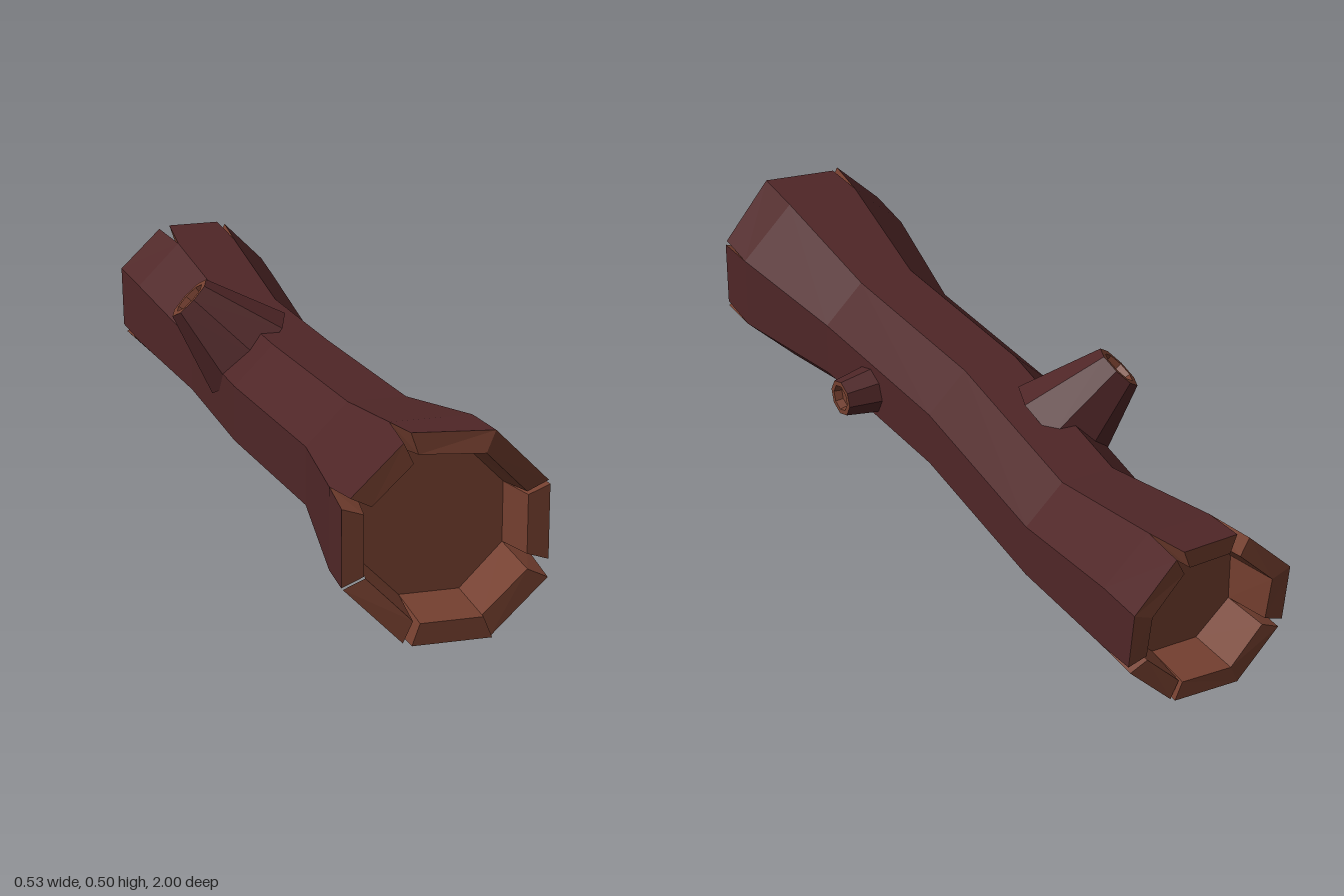
import * as THREE from 'three';

const SIDES = 8;

const bark = new THREE.MeshStandardMaterial({ color: 0x4f2627, flatShading: true });
bark.name = 'bark';
const wood = new THREE.MeshStandardMaterial({ color: 0x743f2f, flatShading: true, side: THREE.DoubleSide });
wood.name = 'cut wood';

// Corner k of an octagonal ring { x, y, z, r }
function corner(ring, k) {
  const a = (k + 0.5) * Math.PI * 2 / SIDES;
  return new THREE.Vector3(ring.x + ring.r * Math.cos(a), ring.y + ring.r * Math.sin(a), ring.z);
}

// Collects flat quads into one mesh
class QuadBuilder {
  constructor() { this.points = []; }
  add(a, b, c, d, flip = false) {
    const order = flip ? [a, c, b, a, d, c] : [a, b, c, a, c, d];
    for (const p of order) this.points.push(p.x, p.y, p.z);
  }
  mesh(name, material) {
    const g = new THREE.BufferGeometry();
    g.setAttribute('position', new THREE.Float32BufferAttribute(this.points, 3));
    g.computeVertexNormals();
    const m = new THREE.Mesh(g, material);
    m.name = name;
    return m;
  }
}

// Trunk sections from back to front
const rings = [
  { x: -0.018, y: 0.261, z: -0.86, r: 0.203 },
  { x: 0.005, y: 0.215, z: -0.5, r: 0.172 },
  { x: -0.01, y: 0.235, z: 0, r: 0.18 },
  { x: 0.022, y: 0.234, z: 0.5, r: 0.182 },
  { x: 0.027, y: 0.236, z: 0.86, r: 0.247 },
];

// Split ends: slit = inset share at each corner, reach = end distance at both corners of each plank
const ends = [
  {
    name: 'front', sign: 1, ring: rings[4],
    rim: { x: 0.027, y: 0.237, r: 0.254 }, inner: 0.2, floor: 0.182,
    slit: [0.03, 0, 0.08, 0.09, 0, 0.06, 0, 0.09],
    reach: [[0.97, 1], [1, 0.965], [1, 0.99], [0.97, 0.97], [0.98, 1], [1, 1], [0.99, 1], [0.97, 0.97]],
  },
  {
    name: 'back', sign: -1, ring: rings[0],
    rim: { x: -0.023, y: 0.272, r: 0.214 }, inner: 0.165, floor: 0.15,
    slit: [0, 0.08, 0.09, 0, 0.07, 0, 0.03, 0.1],
    reach: [[1, 0.99], [0.985, 0.98], [0.99, 1], [1, 0.98], [0.98, 0.99], [0.99, 0.985], [0.98, 0.97], [0.98, 1]],
  },
];

function buildEnd(end) {
  const outer = new QuadBuilder(), cut = new QuadBuilder();
  const { sign, ring, rim } = end;
  const flip = sign < 0;
  const floorRing = { ...ring, r: end.floor };
  const middle = new THREE.Vector3(ring.x, ring.y, ring.z);

  for (let i = 0; i < SIDES; i++) {
    const j = (i + 1) % SIDES;
    // End corners of one plank, drawn in where a slit opens
    const tips = (r) => {
      const a = corner({ ...rim, r, z: sign * end.reach[i][0] }, i);
      const b = corner({ ...rim, r, z: sign * end.reach[i][1] }, j);
      return [a.clone().lerp(b, end.slit[i]), b.clone().lerp(a, end.slit[j])];
    };
    const [oa, ob] = tips(rim.r);
    const [ia, ib] = tips(end.inner);
    const ra = corner(ring, i), rb = corner(ring, j);
    const fa = corner(floorRing, i), fb = corner(floorRing, j);

    outer.add(ra, rb, ob, oa, flip);
    cut.add(oa, ob, ib, ia, flip);   // rim
    cut.add(ia, ib, fb, fa, flip);   // hollow wall
    cut.add(middle, fa, fb, middle, flip); // hollow floor
    if (end.slit[i]) cut.add(ra, oa, ia, fa, flip);
    if (end.slit[j]) cut.add(rb, fb, ib, ob, flip);
  }
  const g = new THREE.Group();
  g.name = end.name + 'End';
  g.add(outer.mesh(end.name + 'SplitBark', bark), cut.mesh(end.name + 'Hollow', wood));
  return g;
}

// Tapered stub with a recessed cut tip
function buildBranch(name, from, to, baseR, tipR) {
  const a = new THREE.Vector3(...from), dir = new THREE.Vector3(...to).sub(a);
  const h = dir.length();
  const lathe = (pts) => new THREE.LatheGeometry(pts.map(([r, y]) => new THREE.Vector2(r, y)), SIDES);
  const side = new THREE.Mesh(lathe([[baseR, 0], [tipR, h]]), bark);
  side.name = name + 'Bark';
  const tip = new THREE.Mesh(
    lathe([[tipR, h], [tipR * 0.72, h], [tipR * 0.64, h - 0.02], [0, h - 0.02]]), wood);
  tip.name = name + 'Cut';
  const g = new THREE.Group();
  g.name = name;
  g.add(side, tip);
  g.position.copy(a);
  g.quaternion.setFromUnitVectors(new THREE.Vector3(0, 1, 0), dir.normalize());
  return g;
}

export function createModel() {
  const model = new THREE.Group();
  model.name = 'hollowLog';

  // Trunk
  const trunk = new QuadBuilder();
  for (let s = 0; s < rings.length - 1; s++) {
    for (let k = 0; k < SIDES; k++) {
      trunk.add(corner(rings[s], k), corner(rings[s], k + 1),
        corner(rings[s + 1], k + 1), corner(rings[s + 1], k));
    }
  }
  model.add(trunk.mesh('trunk', bark));

  for (const end of ends) model.add(buildEnd(end));

  // Branch stubs
  model.add(buildBranch('largeBranch', [-0.08, 0.32, -0.215], [-0.222, 0.464, -0.25], 0.135, 0.062));
  model.add(buildBranch('smallBranch', [0.14, 0.227, 0.288], [0.26, 0.229, 0.28], 0.066, 0.046));

  return model;
}
